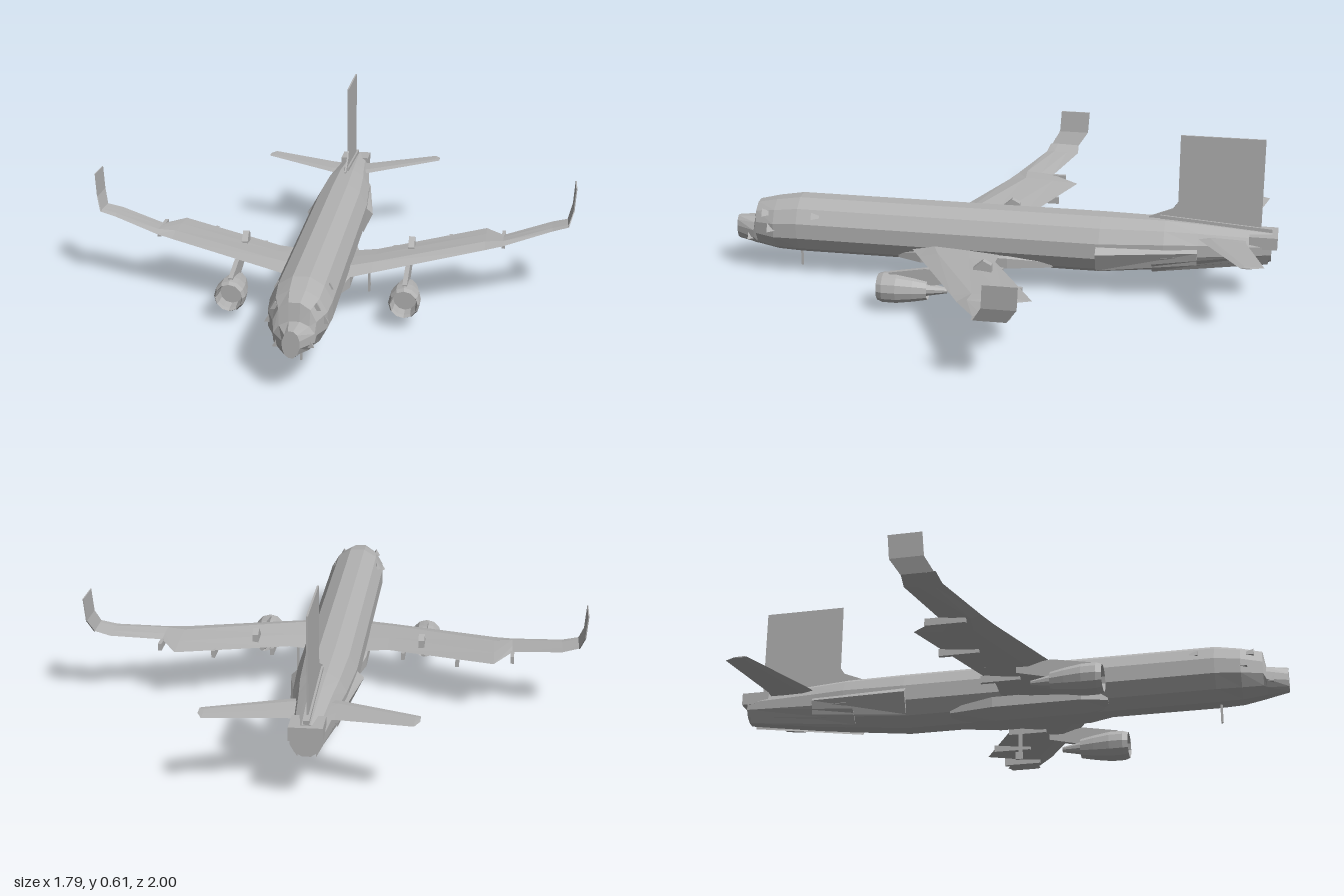
import * as THREE from 'three';

const paint = new THREE.MeshStandardMaterial({ color: 0xb2b2b2, flatShading: true, side: THREE.DoubleSide });
paint.name = 'plain grey';

function add(parent, name, geometry, x = 0, y = 0, z = 0) {
  const mesh = new THREE.Mesh(geometry, paint);
  mesh.name = name;
  mesh.position.set(x, y, z);
  parent.add(mesh);
  return mesh;
}

// Skins a list of equal-length rings of [x, y, z] points and caps both ends.
function loft(rings) {
  const n = rings[0].length, index = [];
  for (let i = 0; i < rings.length - 1; i++) {
    for (let j = 0; j < n; j++) {
      const a = i * n + j, b = i * n + (j + 1) % n;
      index.push(a, b, a + n, b, b + n, a + n);
    }
  }
  const last = (rings.length - 1) * n;
  for (let j = 1; j < n - 1; j++) index.push(0, j + 1, j, last, last + j, last + j + 1);
  const g = new THREE.BufferGeometry();
  g.setAttribute('position', new THREE.Float32BufferAttribute(rings.flat(2), 3));
  g.setIndex(index);
  const flat = g.toNonIndexed();
  flat.computeVertexNormals();
  return flat;
}

// Body ring at z: half width, bottom and top heights. Slightly squared oval.
function bodyRing([z, w, bottom, top], sides = 12) {
  const ring = [], mid = (top + bottom) / 2, h = (top - bottom) / 2;
  for (let j = 0; j < sides; j++) {
    const a = ((j + 0.5) / sides) * Math.PI * 2;
    ring.push([w * Math.cos(a) * 1.035, mid + h * Math.sin(a) * 1.035, z]);
  }
  return ring;
}

// Aerofoil ring at x: leading z, trailing z, height, thickness.
function foilRing([x, lead, trail, y, t]) {
  const at = (k) => lead + (trail - lead) * k;
  return [[x, y, lead], [x, y + t * 0.5, at(0.25)], [x, y + t * 0.3, at(0.65)],
    [x, y, trail], [x, y - t * 0.4, at(0.65)], [x, y - t * 0.6, at(0.25)]];
}

function buildSide(side) {
  // Main wing with the kinked trailing edge
  add(side, 'wing', loft([
    [0.06, 0.33, -0.01, 0.145, 0.04], [0.18, 0.27, -0.01, 0.157, 0.036],
    [0.57, 0.07, -0.205, 0.192, 0.024], [0.635, 0.04, -0.1, 0.2, 0.018],
    [0.81, -0.047, -0.175, 0.235, 0.007], [0.87, -0.055, -0.17, 0.25, 0.004],
  ].map(foilRing)));

  // Upturned tip and upright winglet
  const plate = ([x, y, front, back]) => [[x, y, front], [x + 0.004, y, front], [x + 0.004, y, back], [x, y, back]];
  add(side, 'winglet', loft([[0.866, 0.248, -0.06, -0.17], [0.884, 0.3, -0.09, -0.205],
    [0.891, 0.384, -0.095, -0.21]].map(plate)));

  // Small wedge on top of the wing
  add(side, 'wingWedge', loft([[0.045, 0.16, 0.185], [0.01, 0.16, 0.216], [-0.02, 0.16, 0.2]]
    .map(([z, b, t]) => [[0.294, b, z], [0.316, b, z], [0.316, t, z], [0.294, t, z]])));

  // Flap track fairings under the wing
  for (const [x, y, z] of [[0.24, 0.148, 0.02], [0.44, 0.168, -0.08], [0.635, 0.188, -0.08]]) {
    add(side, 'flapFairing', new THREE.BoxGeometry(0.013, 0.026, 0.14), x, y, z);
  }

  // Hollow engine: outer shell, inner duct, exhaust cone
  const profile = [[0.025, 0.02], [0.036, -0.09], [0.046, -0.04], [0.055, 0.02], [0.055, 0.07],
    [0.048, 0.09], [0.044, 0.07], [0.042, 0.02], [0, 0.02]].map(([r, y]) => new THREE.Vector2(r, y));
  const engine = add(side, 'engine', new THREE.LatheGeometry(profile, 12), 0.305, 0.086, 0.3);
  engine.rotation.x = Math.PI / 2;
  const cone = add(side, 'exhaustCone', new THREE.CylinderGeometry(0.028, 0.01, 0.09, 10), 0.305, 0.088, 0.185);
  cone.rotation.x = Math.PI / 2;

  // Pylon between engine and wing
  add(side, 'enginePylon', loft([[0.35, 0.12, 0.145], [0.22, 0.1, 0.168], [0.09, 0.13, 0.17]]
    .map(([z, b, t]) => [[0.297, b, z], [0.313, b, z], [0.313, t, z], [0.297, t, z]])));

  // Tailplane
  add(side, 'tailplane', loft([[0.03, -0.71, -0.89, 0.246, 0.012], [0.08, -0.73, -0.89, 0.25, 0.012],
    [0.335, -0.87, -0.962, 0.269, 0.006], [0.352, -0.88, -0.925, 0.27, 0.004]].map(foilRing)));

  // Flared rear body panel
  add(side, 'rearFlare', loft([
    [[0.09, 0.22, -0.36], [0.127, 0.185, -0.36], [0.09, 0.11, -0.36]],
    [[0.07, 0.22, -0.72], [0.084, 0.2, -0.72], [0.07, 0.15, -0.72]],
  ]));
  add(side, 'lowerTailPanel', loft([
    [[0.06, 0.13, -0.56], [0.092, 0.15, -0.56], [0.05, 0.105, -0.56]],
    [[0.03, 0.18, -0.97], [0.054, 0.2, -0.97], [0.03, 0.155, -0.97]],
  ]));

  // Pointed panels around the nose
  for (const [x, y, z, s] of [[0.097, 0.245, 0.67, 0.016], [0.098, 0.19, 0.83, 0.022],
    [0.078, 0.24, 0.86, 0.018], [0.062, 0.14, 0.92, 0.02]]) {
    const spike = add(side, 'nosePanel', new THREE.ConeGeometry(s, s * 3, 3), x - 0.012, y, z);
    spike.rotation.x = -Math.PI / 2;
  }
}

export function createModel() {
  const model = new THREE.Group();
  model.name = 'airliner';

  // Fuselage
  add(model, 'fuselage', loft([
    [1, 0.028, 0.112, 0.2], [0.925, 0.066, 0.1, 0.206], [0.915, 0.07, 0.098, 0.265],
    [0.84, 0.096, 0.086, 0.282], [0.75, 0.103, 0.083, 0.297], [-0.37, 0.103, 0.083, 0.297],
    [-0.6, 0.09, 0.108, 0.295], [-0.72, 0.076, 0.122, 0.288], [-0.98, 0.052, 0.16, 0.268],
  ].map((s) => bodyRing(s))));
  add(model, 'tailEnd', new THREE.BoxGeometry(0.11, 0.045, 0.1), 0, 0.243, -0.95);
  add(model, 'bellyFairing', loft([[0.37, 0.08, 0.09, 0.14], [0.28, 0.112, 0.073, 0.17],
    [-0.04, 0.112, 0.073, 0.17], [-0.2, 0.08, 0.09, 0.14]].map((s) => bodyRing(s, 8))));

  // Upright fin with a swept fillet at its foot, drawn in (-z, y)
  const fin = new THREE.Shape();
  fin.moveTo(0.54, 0.29);
  fin.lineTo(0.54, 0.3);
  fin.lineTo(0.625, 0.335);
  fin.lineTo(0.642, 0.36);
  fin.lineTo(0.642, 0.612);
  fin.lineTo(0.94, 0.612);
  fin.lineTo(0.94, 0.25);
  fin.lineTo(0.7, 0.27);
  const finGeo = new THREE.ExtrudeGeometry(fin, { depth: 0.006, bevelEnabled: false });
  finGeo.rotateY(Math.PI / 2);
  add(model, 'tailFin', finGeo, -0.003);

  // Spine ridge along the rear roof
  add(model, 'spine', new THREE.BoxGeometry(0.02, 0.02, 0.4), 0, 0.285, -0.78).rotation.x = -0.07;

  // Nose strut, and the single strut with its foot under the left wing
  add(model, 'noseStrut', new THREE.BoxGeometry(0.006, 0.085, 0.008), 0, 0.057, 0.76);
  add(model, 'mainStrut', new THREE.BoxGeometry(0.008, 0.13, 0.014), 0.15, 0.09, 0.01);
  add(model, 'strutFoot', new THREE.BoxGeometry(0.008, 0.028, 0.026), 0.15, 0.014, 0.005);

  // Wings, engines and tailplanes on both sides
  for (const s of [1, -1]) {
    const side = new THREE.Group();
    side.name = s > 0 ? 'leftSide' : 'rightSide';
    buildSide(side);
    side.scale.x = s;
    model.add(side);
  }
  return model;
}
